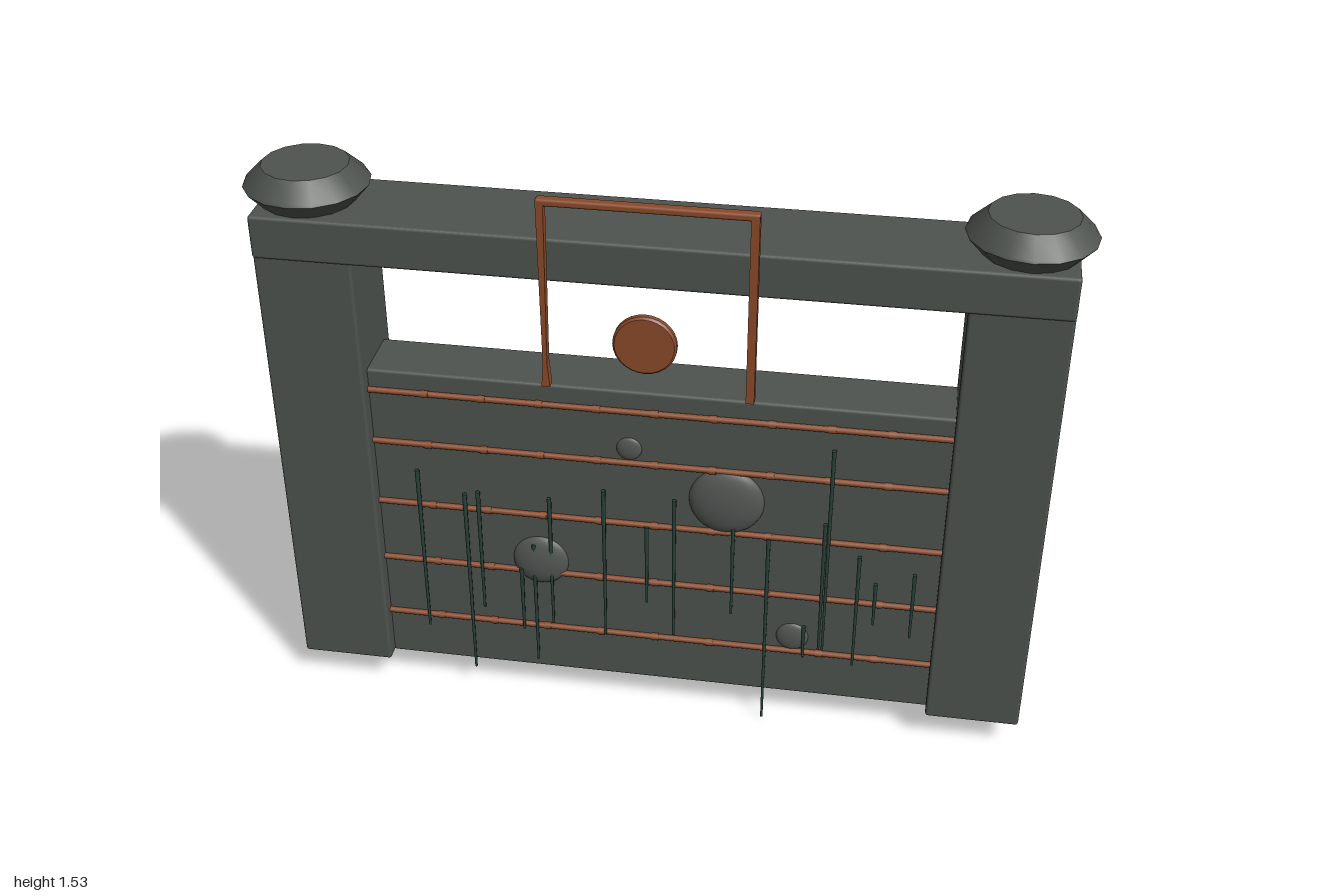
import * as THREE from 'three';
import { RoundedBoxGeometry } from 'three/addons/geometries/RoundedBoxGeometry.js';
import { toCreasedNormals } from 'three/addons/utils/BufferGeometryUtils.js';

const mat = (name, color) => {
  const m = new THREE.MeshStandardMaterial({ color });
  m.name = name;
  return m;
};

export function createModel() {
  const stone = mat('dark stone', 0x4e534f);
  const boulder = mat('grey boulder', 0x545855);
  const copper = mat('copper', 0x8a4a2a);
  const green = mat('dark vine green', 0x2a4239);

  const root = new THREE.Group();
  root.name = 'stoneGate';
  const add = (name, geo, material, x = 0, y = 0, z = 0) => {
    const m = new THREE.Mesh(geo, material);
    m.name = name;
    m.position.set(x, y, z);
    root.add(m);
    return m;
  };
  // Slightly rounded stone block from its extents
  const block = (name, x0, x1, y0, y1, z0, z1) =>
    add(name, new RoundedBoxGeometry(x1 - x0, y1 - y0, z1 - z0, 2, 0.008), stone,
      (x0 + x1) / 2, (y0 + y1) / 2, (z0 + z1) / 2);

  // Gate body
  block('panel', -0.725, 0.725, 0.085, 0.98, -0.115, 0.04);
  block('lintel', -0.96, 0.96, 1.29, 1.4, -0.163, 0.086);
  const capProfile = [[0, 0], [0.115, 0], [0.152, 0.042], [0.148, 0.048], [0.105, 0.09], [0, 0.09]]
    .map(([r, y]) => new THREE.Vector2(r, y));
  for (const s of [-1, 1]) {
    block(s > 0 ? 'leftPost' : 'rightPost', s * 0.84 - 0.12, s * 0.84 + 0.12, 0.085, 1.3, -0.155, 0.08);
    const cap = toCreasedNormals(new THREE.LatheGeometry(capProfile, 16), 0.5);
    add(s > 0 ? 'leftCap' : 'rightCap', cap, stone, s * 0.848, 1.4, -0.04);
  }

  // Copper rails with evenly spaced joints
  for (const y of [0.925, 0.775, 0.59, 0.41, 0.23]) {
    const rail = new THREE.CylinderGeometry(0.008, 0.008, 1.44, 8).rotateZ(Math.PI / 2);
    add('rail', rail, copper, 0, y, 0.044);
    for (let i = 1; i < 10; i++) {
      const joint = new THREE.CylinderGeometry(0.01, 0.01, 0.018, 8).rotateZ(Math.PI / 2);
      add('railJoint', joint, copper, -0.72 + i * 0.144, y, 0.044);
    }
  }

  // Flattened boulders set in the panel: x, y, radius
  for (const [x, y, r] of [[0.18, 0.685, 0.095], [-0.3, 0.445, 0.073], [0.36, 0.275, 0.042], [-0.065, 0.815, 0.032]]) {
    add('boulder', new THREE.SphereGeometry(r, 20, 14), boulder, x, y, 0.04).scale.z = 0.3;
  }

  // Hanging vines, thinner towards the tip: x, bottom, top
  const vines = [
    [-0.61, 0.2, 0.7], [-0.49, 0.07, 0.64], [-0.455, 0.28, 0.65], [-0.35, 0.22, 0.42],
    [-0.315, 0.12, 0.5], [-0.27, 0.25, 0.65], [-0.13, 0.23, 0.69], [-0.02, 0.35, 0.59],
    [0.05, 0.25, 0.68], [0.2, 0.34, 0.64], [0.29, 0, 0.59], [0.44, 0.25, 0.87],
    [0.43, 0.25, 0.65], [0.39, 0.22, 0.32], [0.52, 0.21, 0.56], [0.565, 0.35, 0.48], [0.66, 0.32, 0.52],
  ];
  for (const [x, y0, y1] of vines) {
    add('vine', new THREE.CylinderGeometry(0.006, 0.0035, y1 - y0, 6), green, x, (y0 + y1) / 2, 0.053);
  }

  // Copper hanging frame; the legs narrow towards a flared foot
  add('frameBar', new RoundedBoxGeometry(0.505, 0.018, 0.025, 2, 0.006), copper, 0, 1.525, 0.144);
  for (const s of [-1, 1]) {
    const leg = new THREE.BoxGeometry(0.018, 0.48, 0.025, 1, 8, 1);
    const p = leg.attributes.position;
    for (let i = 0; i < p.count; i++) {
      const t = 0.5 - p.getY(i) / 0.48;
      const k = t > 0.9 ? 1.15 : 1 - 0.5 * t;
      p.setX(i, p.getX(i) * (s < 0 ? k : 1.1));
    }
    leg.computeVertexNormals();
    add(s > 0 ? 'leftFrameLeg' : 'rightFrameLeg', leg, copper, s * 0.242, 1.288, 0.144);
  }

  // Copper disc with softened rim
  const discProfile = [[0, -0.011], [0.07, -0.011], [0.075, -0.006], [0.075, 0.006], [0.07, 0.011], [0, 0.011]]
    .map(([r, y]) => new THREE.Vector2(r, y));
  const disc = toCreasedNormals(new THREE.LatheGeometry(discProfile, 28), 0.6).rotateX(Math.PI / 2);
  add('disc', disc, copper, 0, 1.2, 0.181);

  return root;
}
